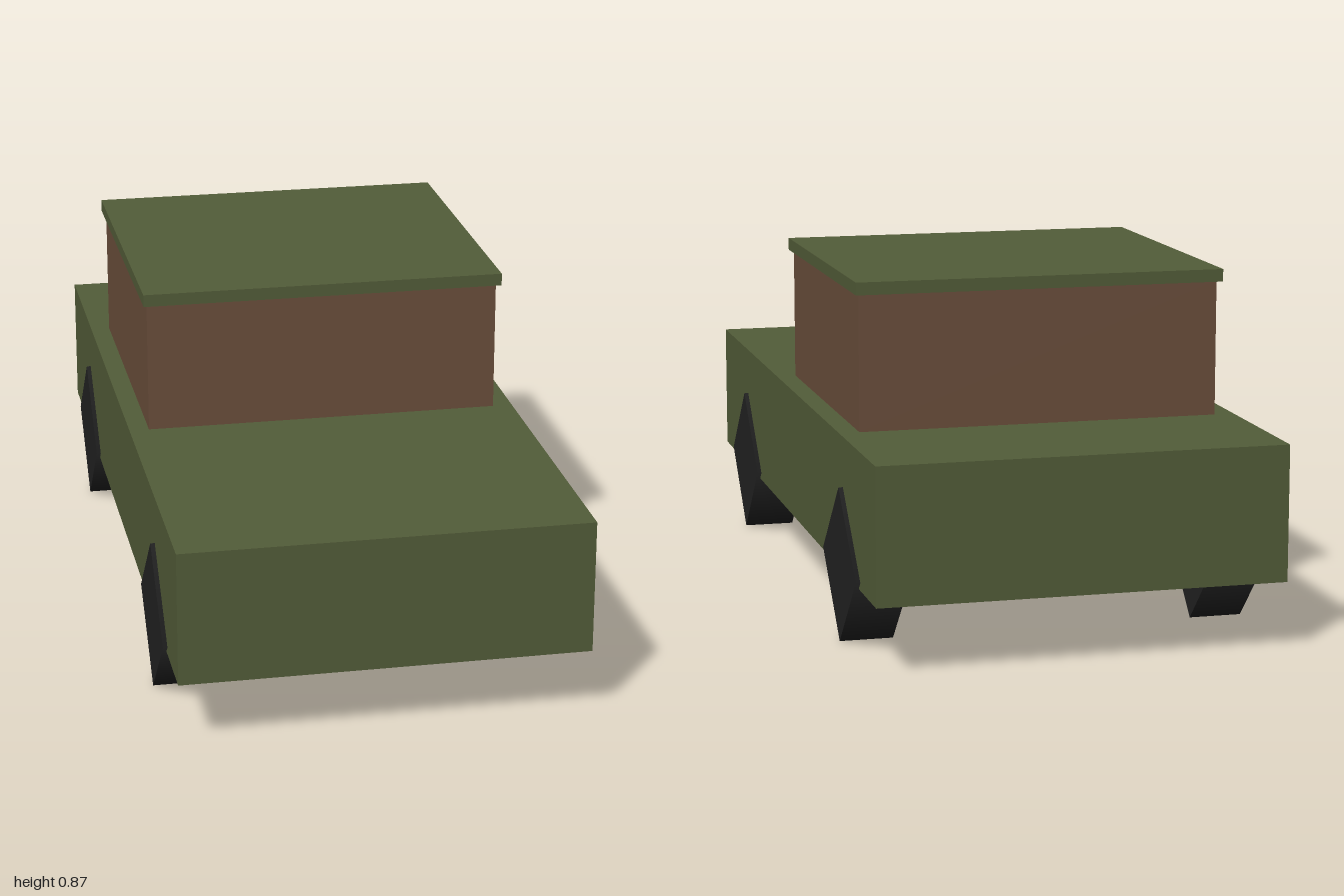
import * as THREE from 'three';

const olive = new THREE.MeshStandardMaterial({ color: 0x535d39 });
olive.name = 'olive green';
const brown = new THREE.MeshStandardMaterial({ color: 0x6b4f3c });
brown.name = 'brown';
const black = new THREE.MeshStandardMaterial({ color: 0x222222 });
black.name = 'tyre black';

// Box given by its size, its bottom height and its centre along z
function box(name, material, [w, h, d], bottom, z) {
  const mesh = new THREE.Mesh(new THREE.BoxGeometry(w, h, d), material);
  mesh.name = name;
  mesh.position.set(0, bottom + h / 2, z);
  return mesh;
}

export function createModel() {
  const model = new THREE.Group();
  model.name = 'car';

  // Body, cabin and slightly overhanging roof
  model.add(
    box('body', olive, [1, 0.333, 2], 0.171, 0),
    box('cabin', brown, [0.9, 0.335, 0.8], 0.504, -0.2),
    box('roof', olive, [0.92, 0.031, 0.84], 0.839, -0.2),
  );

  // Four-sided wheels standing on a corner
  const wheelGeometry = new THREE.CylinderGeometry(0.19, 0.19, 0.132, 4).rotateZ(Math.PI / 2);
  for (const [side, x] of [['Left', 0.445], ['Right', -0.445]]) {
    for (const [end, z] of [['front', 0.64], ['rear', -0.64]]) {
      const wheel = new THREE.Mesh(wheelGeometry, black);
      wheel.name = `${end}${side}Wheel`;
      wheel.position.set(x, 0.19, z);
      model.add(wheel);
    }
  }
  return model;
}
